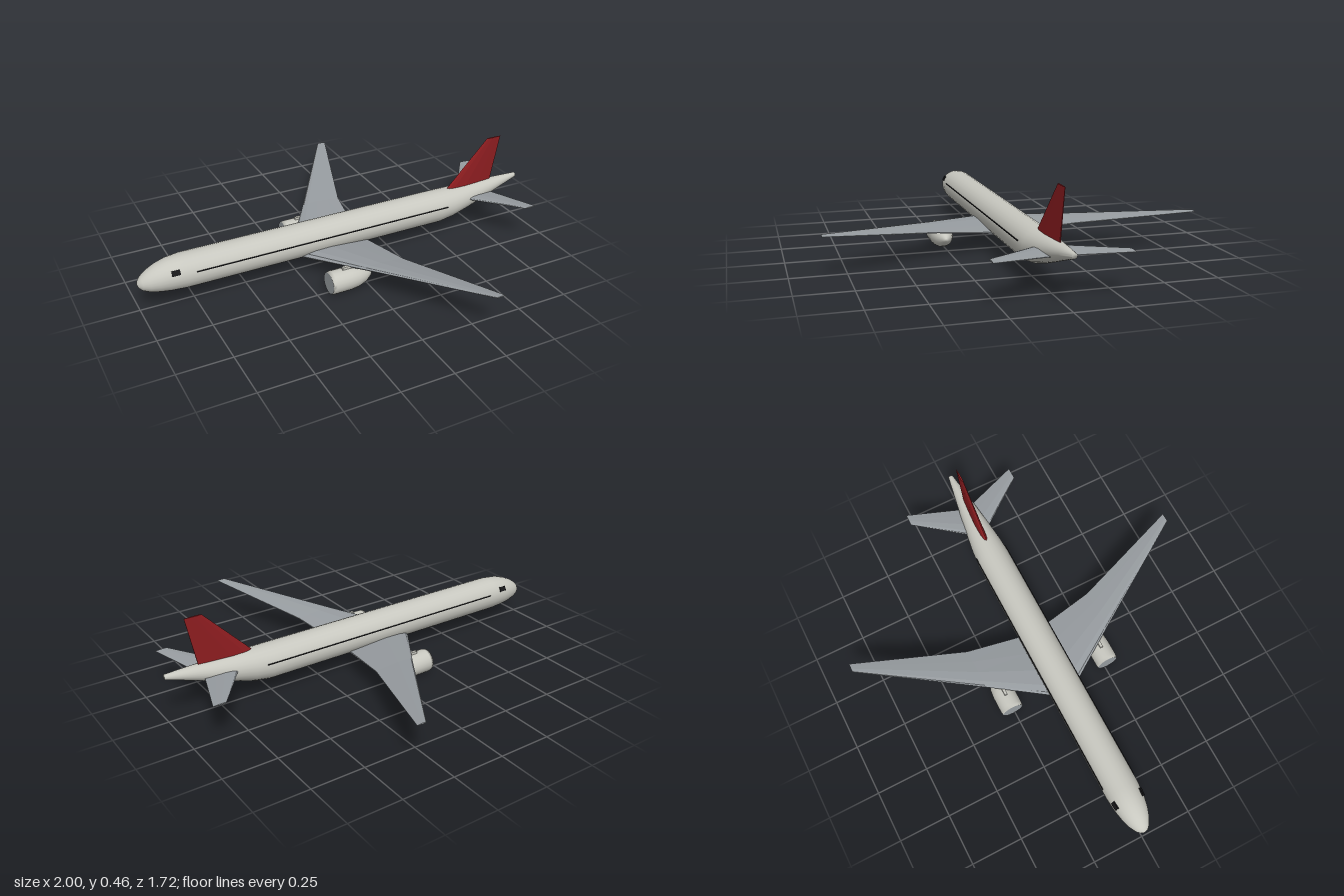
import * as THREE from 'three';

const mat = (name, color) => Object.assign(new THREE.MeshStandardMaterial({ color }), { name });

// Skin a list of equal-length rings and cap both ends; quads chosen by isSecond get material 1.
function loft(rings, { flat = false, isSecond = () => false } = {}) {
  const n = rings[0].length, main = [], second = [];
  for (let i = 0; i < rings.length - 1; i++) {
    for (let j = 0; j < n; j++) {
      const k = (j + 1) % n, a = i * n, b = a + n;
      (isSecond(i, j) ? second : main).push(a + j, b + j, b + k, a + j, b + k, a + k);
    }
  }
  const last = (rings.length - 1) * n;
  for (let k = 1; k < n - 1; k++) main.push(0, k, k + 1, last, last + k + 1, last + k);
  let geo = new THREE.BufferGeometry();
  geo.setAttribute('position', new THREE.Float32BufferAttribute(rings.flat(2), 3));
  geo.setIndex([...main, ...second]);
  if (second.length) {
    geo.addGroup(0, main.length, 0);
    geo.addGroup(main.length, second.length, 1);
  }
  if (flat) geo = geo.toNonIndexed();
  geo.computeVertexNormals();
  return geo;
}

// Circular ring across the x axis
const circle = (x, y, r, n, z = 0) => Array.from({ length: n }, (_, j) => {
  const a = (j / n) * Math.PI * 2;
  return [x, y + r * Math.sin(a), z + r * Math.cos(a)];
});

// Aerofoil outline: chord fraction, thickness fraction
const FOIL = [[0, 0], [0.04, 0.28], [0.15, 0.45], [0.4, 0.5], [0.7, 0.32], [1, 0.08],
  [1, -0.08], [0.7, -0.32], [0.4, -0.5], [0.15, -0.45], [0.04, -0.28]];
const foil = (x0, x1, t, place) => FOIL.map(([u, v]) => place(x0 + u * (x1 - x0), v * t));

// Flying surface from tip to tip; stations are [z, leading x, trailing x, y, thickness] from root out
function span(stations) {
  const ring = ([z, x0, x1, y, t], s) => foil(x0, x1, t, (x, h) => [x, y + h, s * z]);
  const left = stations.slice(1).reverse().map((p) => ring(p, -1));
  return loft([...left, ...stations.map((p) => ring(p, 1))], { flat: true });
}

export function createModel() {
  const group = new THREE.Group();
  group.name = 'airliner';
  const white = mat('warm white paint', 0xc8c8c0);
  const grey = mat('wing grey', 0x979ca0);
  const red = mat('fin red', 0x8e1d20);
  const black = mat('window black', 0x161618);
  const add = (name, geo, material) => {
    const mesh = new THREE.Mesh(geo, material);
    mesh.name = name;
    group.add(mesh);
    return mesh;
  };

  // Fuselage: [x, centre y, radius], with a grey belly up to the tail taper
  const body = [[-1, 0.135, 0.004], [-0.995, 0.1355, 0.018], [-0.98, 0.137, 0.034], [-0.95, 0.141, 0.051],
    [-0.91, 0.146, 0.065], [-0.86, 0.15, 0.0755], [-0.79, 0.152, 0.082], [0, 0.152, 0.082],
    [0.52, 0.152, 0.082], [0.6, 0.158, 0.076], [0.7, 0.172, 0.062], [0.8, 0.188, 0.046],
    [0.9, 0.205, 0.029], [1, 0.22, 0.012]];
  const SIDES = 24;
  add('fuselage', loft(body.map(([x, y, r]) => circle(x, y, r, SIDES)), {
    isSecond: (i, j) => body[i][0] >= -0.92 && body[i][0] < 0.52 && j >= SIDES * 5 / 8 && j < SIDES * 7 / 8,
  }), [white, grey]);

  // Cabin window line, just proud of both sides
  add('cabinWindows', new THREE.BoxGeometry(1.3, 0.004, 0.164), black).position.set(-0.1, 0.174, 0);

  // Wings and tailplane
  add('wings', span([
    [0, -0.27, 0.095, 0.09, 0.05],
    [0.08, -0.22, 0.108, 0.1, 0.045],
    [0.33, -0.055, 0.147, 0.128, 0.026],
    [0.86, 0.285, 0.33, 0.19, 0.006],
  ]), grey);
  add('tailplane', span([
    [0, 0.64, 0.82, 0.172, 0.022],
    [0.05, 0.68, 0.838, 0.176, 0.02],
    [0.29, 0.86, 0.92, 0.193, 0.006],
  ]), grey);

  // Tail fin
  const finRing = (y, x0, x1, t) => foil(x0, x1, t, (x, h) => [x, y, -h]);
  add('tailFin', loft([
    finRing(0.2, 0.556, 0.838, 0.03),
    finRing(0.235, 0.59, 0.845, 0.028),
    finRing(0.46, 0.81, 0.89, 0.008),
  ], { flat: true }), red);

  for (const side of [1, -1]) {
    const name = side > 0 ? 'front' : 'rear';
    const z = side * 0.26;

    // Engine nacelle, intake face and pylon
    const nacelle = [[-0.195, 0.055, 0.052], [-0.18, 0.055, 0.055], [-0.1, 0.055, 0.055], [-0.06, 0.056, 0.051],
      [-0.02, 0.057, 0.038], [0.01, 0.058, 0.018], [0.02, 0.058, 0.006]];
    add(name + 'Engine', loft(nacelle.map(([x, y, r]) => circle(x, y, r, 20, z))), white);
    const intake = add(name + 'Intake', new THREE.CircleGeometry(0.051, 20), grey);
    intake.position.set(-0.197, 0.055, z);
    intake.rotation.y = -Math.PI / 2;
    add(name + 'Pylon', new THREE.BoxGeometry(0.13, 0.03, 0.014), white).position.set(-0.065, 0.106, z);

    // Cockpit window plate, tilted to follow the nose
    const pane = add(name + 'CockpitWindow', new THREE.BoxGeometry(0.038, 0.024, 0.008), black);
    pane.position.set(-0.84, 0.187, side * 0.0685);
    pane.rotation.set(-side * 0.5, -side * 0.08, 0);
  }
  return group;
}
